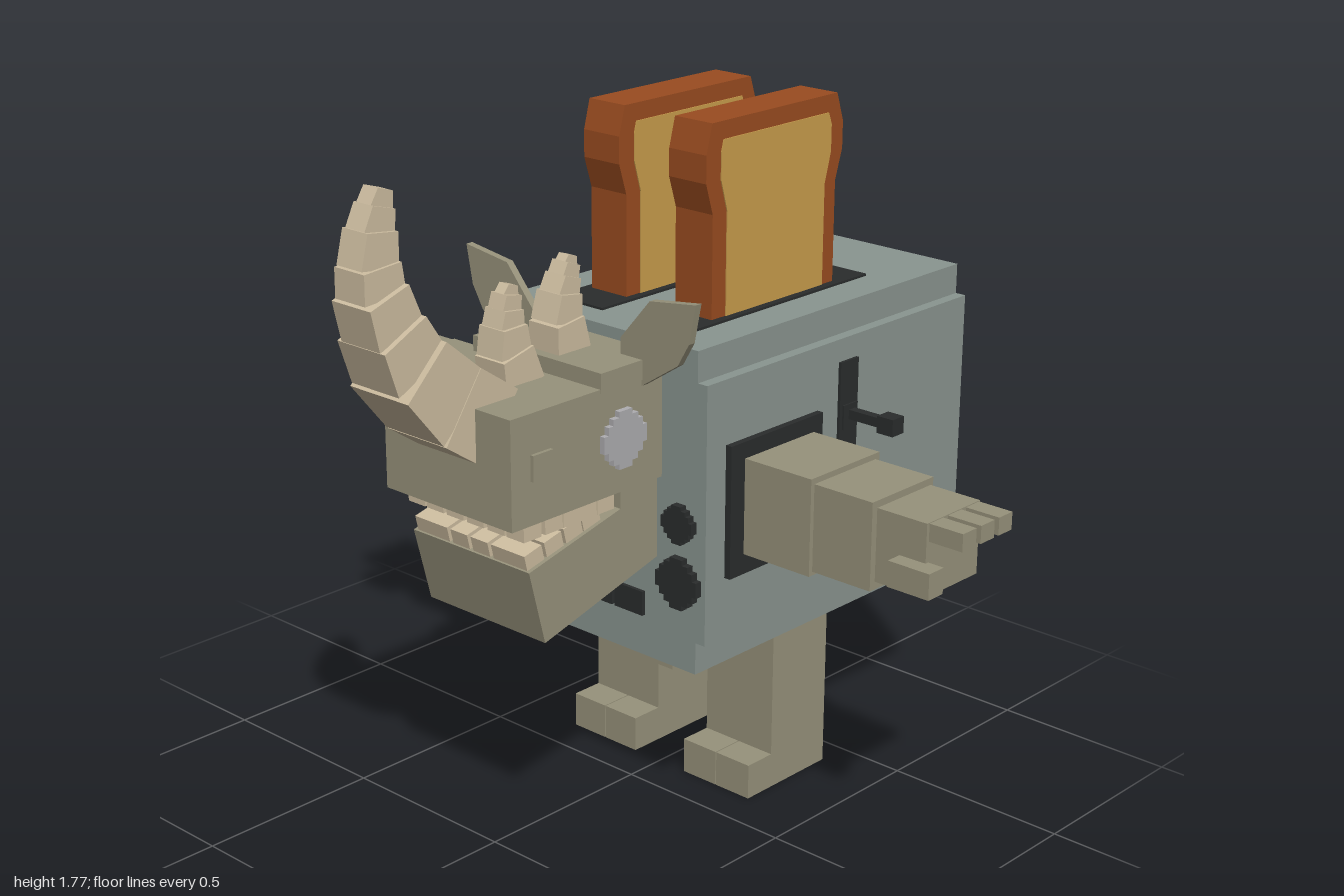
import * as THREE from 'three';

export function createModel() {
  const model = new THREE.Group();
  const paint = (name, color) => {
    const m = new THREE.MeshStandardMaterial({ color });
    m.name = name;
    return m;
  };
  const steel = paint('greyMetal', 0x8a9590);
  const hide = paint('oliveHide', 0x97927b);
  const bone = paint('bone', 0xcdbda0);
  const crust = paint('crust', 0x9a4c20);
  const crumb = paint('crumb', 0xc99d4c);
  const black = paint('black', 0x2a2c2c);
  const eyeGrey = paint('eyeGrey', 0xaeadb0);

  const add = (name, geo, mat, parent = model) => {
    const m = new THREE.Mesh(geo, mat);
    m.name = name;
    parent.add(m);
    return m;
  };
  // Box given by its extents on each axis
  const box = (name, mat, x0, x1, y0, y1, z0, z1, parent) => {
    const m = add(name, new THREE.BoxGeometry(Math.abs(x1 - x0), y1 - y0, z1 - z0), mat, parent);
    m.position.set((x0 + x1) / 2, (y0 + y1) / 2, (z0 + z1) / 2);
    return m;
  };
  const extrude = (pts, depth) => new THREE.ExtrudeGeometry(
    new THREE.Shape(pts.map(p => new THREE.Vector2(p[0], p[1]))), { depth, bevelEnabled: false });
  // Profile drawn in (z, y), extruded along x from x0 to x1
  const sideProfile = (pts, x0, x1) =>
    extrude(pts.map(([z, y]) => [-z, y]), x1 - x0).rotateY(Math.PI / 2).translate(x0, 0, 0);
  // Round disc with stepped outline
  const steppedDisc = (r, depth) => {
    const pts = [];
    for (let i = 0; i < 4; i++) {
      const c = [1, 0, -1, 0][i], s = [0, 1, 0, -1][i];
      for (const [a, b] of [[1, -0.3], [1, 0.3], [0.8, 0.3], [0.8, 0.58], [0.58, 0.58], [0.58, 0.8], [0.3, 0.8]])
        pts.push([r * (a * c - b * s), r * (a * s + b * c)]);
    }
    return extrude(pts, depth);
  };

  // Toaster body: wide middle, narrower top and bottom
  box('bodyMiddle', steel, -0.36, 0.36, 0.525, 1.2, -0.9, 0.12);
  box('bodyTop', steel, -0.33, 0.33, 1.2, 1.28, -0.9, 0.12);
  box('bodyBottom', steel, -0.33, 0.33, 0.44, 0.525, -0.9, 0.12);

  // Slots with toast
  const loaf = [[-0.07, 1.2], [-0.07, 1.55], [-0.045, 1.63], [-0.045, 1.7], [-0.065, 1.775],
    [-0.535, 1.775], [-0.56, 1.7], [-0.56, 1.63], [-0.535, 1.55], [-0.535, 1.2]];
  const inner = [[-0.12, 1.2], [-0.12, 1.55], [-0.097, 1.63], [-0.097, 1.7], [-0.105, 1.73],
    [-0.5, 1.73], [-0.512, 1.7], [-0.512, 1.63], [-0.49, 1.55], [-0.49, 1.2]];
  for (const s of [-1, 1]) {
    const x = s * 0.143;
    box('toastSlot', black, x - 0.082, x + 0.082, 1.27, 1.286, -0.647, 0.04);
    add('toastCrust', sideProfile(loaf, x - 0.06, x + 0.06), crust);
    add('toastCrumb', sideProfile(inner, x - 0.063, x + 0.063), crumb);
  }

  // Lever on the left side
  box('leverSlot', black, 0.355, 0.368, 0.6, 1.14, -0.445, -0.375);
  box('leverBase', black, 0.36, 0.373, 0.96, 1.025, -0.44, -0.385);
  box('leverRod', black, 0.36, 0.475, 0.985, 1.01, -0.43, -0.405);
  box('leverKnob', black, 0.47, 0.52, 0.975, 1.02, -0.44, -0.395);

  // Front controls
  for (const [a, b] of [[-0.31, -0.22], [-0.175, -0.065], [-0.035, 0.055], [0.065, 0.16]])
    box('button', black, a, b, 0.55, 0.615, 0.11, 0.13);
  for (const [y, r] of [[0.83, 0.05], [0.675, 0.067]])
    add('dial', steppedDisc(r, 0.03), black).position.set(0.28, y, 0.11);

  // Pelvis
  box('pelvisUpper', hide, -0.14, 0.14, 0.365, 0.44, -0.75, 0);
  box('pelvisLower', hide, -0.127, 0.127, 0.34, 0.365, -0.73, -0.02);

  for (const s of [-1, 1]) {
    // Leg with two toes
    box('leg', hide, s * 0.088, s * 0.313, 0, 0.44, -0.415, -0.2);
    box('innerToe', hide, s * 0.088, s * 0.199, 0, 0.095, -0.2, -0.11);
    box('outerToe', hide, s * 0.202, s * 0.313, 0, 0.095, -0.2, -0.11);

    // Arm, hand and fingers
    box('armPanel', black, s * 0.355, s * 0.378, 0.687, 1.033, -0.295, 0.05);
    box('upperArm', hide, s * 0.37, s * 0.585, 0.74, 0.99, -0.26, 0);
    box('forearm', hide, s * 0.585, s * 0.76, 0.75, 0.975, -0.245, -0.012);
    box('hand', hide, s * 0.76, s * 0.905, 0.77, 0.957, -0.235, -0.03);
    for (const z of [-0.205, -0.135, -0.065])
      box('finger', hide, s * 0.9, s, 0.91, 0.955, z - 0.026, z + 0.026);
    box('thumb', hide, s * 0.83, s * 0.95, 0.792, 0.858, -0.04, 0.015);
  }

  // Head
  const head = new THREE.Group();
  head.name = 'head';
  model.add(head);
  box('snout', hide, -0.215, 0.215, 0.935, 1.21, 0.12, 0.627, head);
  box('brow', hide, -0.217, 0.217, 1.2, 1.25, 0.12, 0.333, head);
  add('lowerJaw', sideProfile([[0.56, 0.81], [0.51, 0.615], [0.12, 0.72], [0.12, 0.94],
    [0.25, 0.94], [0.25, 0.883]], -0.2, 0.2), hide, head);

  const ear = [[0.385, 1.42], [0.24, 1.4], [0.145, 1.29], [0.145, 1.2], [0.2, 1.175], [0.33, 1.26], [0.365, 1.32]];
  for (const s of [-1, 1]) {
    add('ear', extrude(ear.map(([x, y]) => [s * x, y]), 0.02), hide, head).position.z = 0.172;
    const eye = add('eye', steppedDisc(0.073, 0.02).rotateY(s * Math.PI / 2), eyeGrey, head);
    eye.position.set(s * 0.21, 1.073, 0.262);
    box('nostril', hide, s * 0.21, s * 0.225, 1.045, 1.11, 0.5, 0.565, head);
  }

  // Teeth: side rows and a front row in each jaw
  const slope = 0.24;
  const tooth = (x, z, lower) => {
    const y = lower ? 0.81 + (0.56 - z) * slope + 0.015 : 0.915;
    const m = box('tooth', bone, x - 0.029, x + 0.029, y - 0.025, y + 0.025, z - 0.029, z + 0.029, head);
    if (lower) m.rotation.x = Math.atan(slope);
  };
  for (const s of [-1, 1]) {
    for (const z of [0.545, 0.475, 0.415, 0.36, 0.3]) tooth(s * 0.17, z, false);
    for (const z of [0.53, 0.465, 0.4, 0.34]) tooth(s * 0.16, z, true);
    for (const x of [0.035, 0.105]) {
      tooth(s * x, 0.545, false);
      tooth(s * x, 0.53, true);
    }
  }

  // Horns: chains of shrinking blocks, each point is [z, y, thickness, half width]
  const horn = (name, pts) => {
    const g = new THREE.Group();
    g.name = name;
    head.add(g);
    for (let i = 0; i + 1 < pts.length; i++) {
      const [z0, y0, t0, w] = pts[i], [z1, y1, t1] = pts[i + 1];
      const len = Math.hypot(z1 - z0, y1 - y0) * 1.08;
      const geo = new THREE.BoxGeometry(2 * w, len, 1);
      const p = geo.attributes.position;
      for (let k = 0; k < p.count; k++) p.setZ(k, p.getZ(k) * (p.getY(k) > 0 ? t1 : t0));
      geo.computeVertexNormals();
      const m = add('hornSegment', geo, bone, g);
      m.position.set(0, (y0 + y1) / 2, (z0 + z1) / 2);
      m.rotation.x = Math.atan2(z1 - z0, y1 - y0);
    }
  };
  horn('noseHorn', [[0.55, 1.145, 0.2, 0.1], [0.657, 1.218, 0.2, 0.098], [0.763, 1.325, 0.17, 0.08],
    [0.81, 1.42, 0.14, 0.065], [0.84, 1.51, 0.122, 0.05], [0.845, 1.577, 0.11, 0.042],
    [0.835, 1.654, 0.09, 0.032], [0.82, 1.707, 0.068, 0.024], [0.808, 1.745, 0.045, 0.02]]);
  horn('middleHorn', [[0.415, 1.2, 0.125, 0.05], [0.435, 1.28, 0.1, 0.043], [0.437, 1.345, 0.075, 0.034],
    [0.432, 1.385, 0.06, 0.026], [0.425, 1.42, 0.05, 0.016], [0.418, 1.442, 0.03, 0.01]]);
  horn('browHorn', [[0.25, 1.245, 0.11, 0.05], [0.26, 1.32, 0.09, 0.043], [0.25, 1.385, 0.07, 0.034],
    [0.237, 1.425, 0.055, 0.026], [0.226, 1.455, 0.045, 0.016], [0.22, 1.473, 0.03, 0.01]]);

  return model;
}
